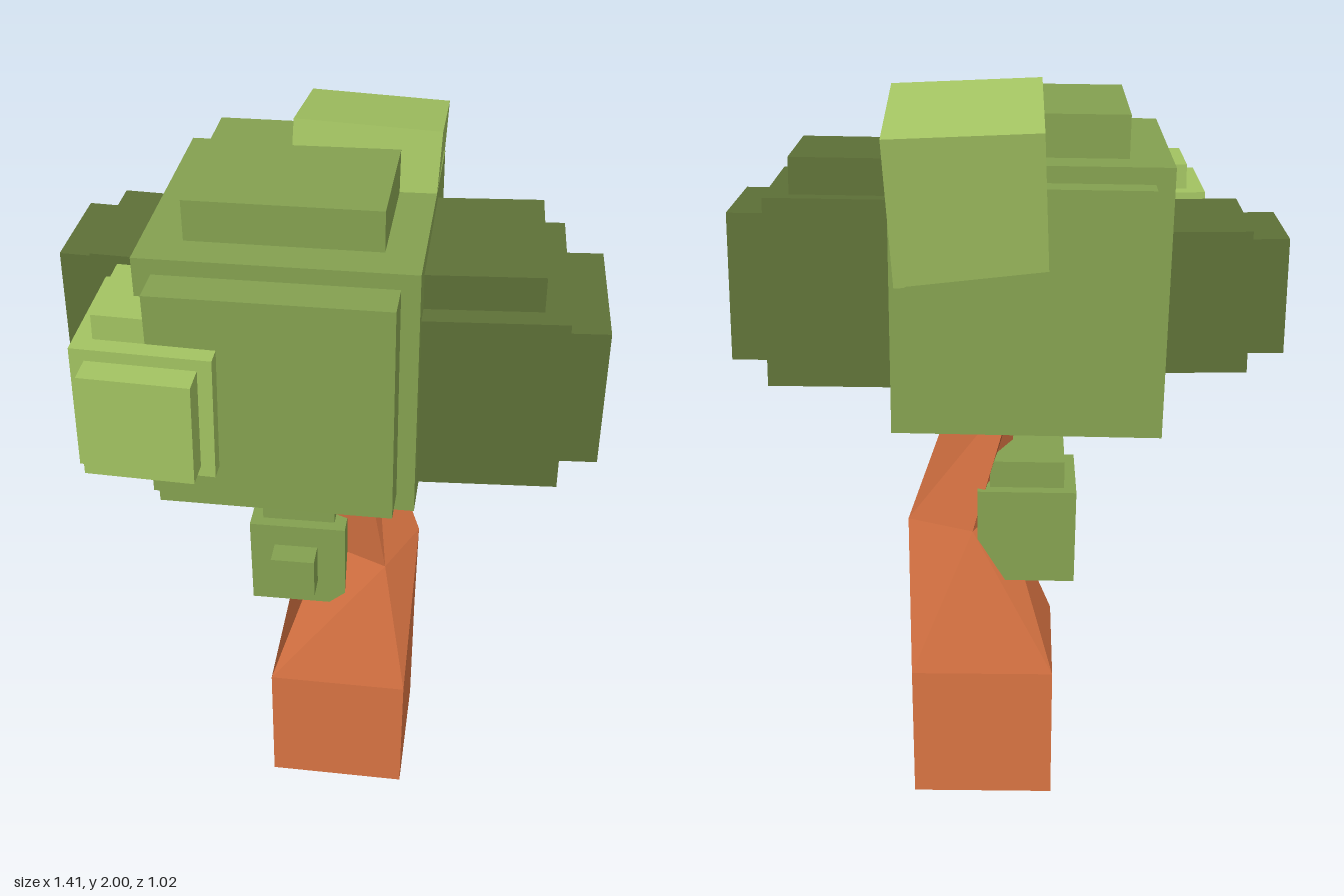
import * as THREE from 'three';

const material = (color, side = THREE.FrontSide) =>
  new THREE.MeshStandardMaterial({ color, flatShading: true, side });

// Four-sided trunk lofted through rings of [x, z] corners
// (front left, front right, back right, back left as seen from the front)
function trunkGeometry(rings) {
  const pos = [];
  const point = (ring, i) => [ring.c[i % 4][0], ring.y, ring.c[i % 4][1]];
  const quad = (a, b, c, d) => pos.push(...a, ...b, ...c, ...a, ...c, ...d);
  for (let r = 0; r < rings.length - 1; r++) {
    const lo = rings[r], hi = rings[r + 1];
    for (let i = 0; i < 4; i++) quad(point(lo, i), point(lo, i + 1), point(hi, i + 1), point(hi, i));
  }
  const bottom = rings[0], top = rings[rings.length - 1];
  quad(point(bottom, 3), point(bottom, 2), point(bottom, 1), point(bottom, 0));
  quad(point(top, 0), point(top, 1), point(top, 2), point(top, 3));
  const geo = new THREE.BufferGeometry();
  geo.setAttribute('position', new THREE.Float32BufferAttribute(pos, 3));
  geo.computeVertexNormals();
  return geo;
}

// Leaf clump: a slightly turned cube with smaller blocks standing out of some faces
function clump(name, color, size, center, rotation, bumps) {
  const group = new THREE.Group();
  group.name = name;
  const mat = material(color);
  const block = (label, s, p) => {
    const mesh = new THREE.Mesh(new THREE.BoxGeometry(...s), mat);
    mesh.name = label;
    mesh.position.set(...p);
    group.add(mesh);
  };
  block(name + 'Core', size, [0, 0, 0]);
  for (const [label, s, p] of bumps) block(name + label, s, p);
  group.position.set(...center);
  group.rotation.set(...rotation);
  return group;
}

export function createModel() {
  const tree = new THREE.Group();
  tree.name = 'tree';

  // Trunk: square base, twisted and leaning toward the crown
  const base = [[-0.15, 0.155], [0.24, 0.155], [0.24, -0.23], [-0.15, -0.23]];
  const trunk = new THREE.Mesh(trunkGeometry([
    { y: 0, c: base },
    { y: 0.39, c: base },
    { y: 0.8, c: [[-0.01, 0.01], [0.17, 0.09], [0.25, -0.09], [0.07, -0.17]] },
    { y: 1.2, c: [[-0.065, 0.03], [0.09, 0.05], [0.11, -0.105], [-0.045, -0.13]] },
  ]), material(0xd97443));
  trunk.name = 'trunk';
  tree.add(trunk);

  const light = 0xa5c663, mid = 0x86a351, dark = 0x5f7238;

  // Main crown with front, back and top blocks
  tree.add(clump('crown', mid, [0.67, 0.67, 0.67], [-0.08, 1.5, -0.04], [0.005, -0.012, 0.01], [
    ['FrontBlock', [0.58, 0.58, 0.2], [0, 0.005, 0.335]],
    ['BackBlock', [0.58, 0.59, 0.2], [0, 0, -0.303]],
    ['TopBlock', [0.475, 0.2, 0.475], [0.005, 0.338, 0]],
  ]));

  // Tilted clump at the back of the crown
  tree.add(clump('backClump', light, [0.365, 0.365, 0.37], [0.067, 1.782, -0.29], [-0.185, 0.01, -0.04], []));

  // Dark clump on the +x side
  tree.add(clump('leftClump', dark, [0.48, 0.48, 0.475], [0.35, 1.47, 0.01], [0.045, 0.04, 0.02], [
    ['TopBlock', [0.37, 0.2, 0.37], [-0.005, 0.232, 0]],
    ['OuterBlock', [0.2, 0.38, 0.37], [0.238, 0, 0.01]],
  ]));

  // Dark clump on the -x side
  tree.add(clump('rightClump', dark, [0.36, 0.35, 0.36], [-0.43, 1.5, -0.175], [0.01, -0.02, -0.015], [
    ['OuterBlock', [0.16, 0.285, 0.285], [-0.192, 0.005, 0]],
  ]));

  // Light clump at the front corner
  tree.add(clump('frontClump', light, [0.335, 0.33, 0.335], [-0.38, 1.5, 0.27], [0.01, -0.01, -0.02], [
    ['FrontBlock', [0.265, 0.27, 0.16], [0, 0, 0.16]],
    ['TopBlock', [0.265, 0.15, 0.24], [0.01, 0.155, 0]],
  ]));

  // Small shoot on the trunk
  tree.add(clump('shoot', mid, [0.265, 0.265, 0.265], [-0.075, 0.785, -0.038], [0, 0, 0.01], [
    ['TopBlock', [0.2, 0.14, 0.2], [0, 0.137, 0]],
    ['FrontBlock', [0.12, 0.12, 0.14], [-0.005, 0.005, 0.13]],
  ]));

  return tree;
}
